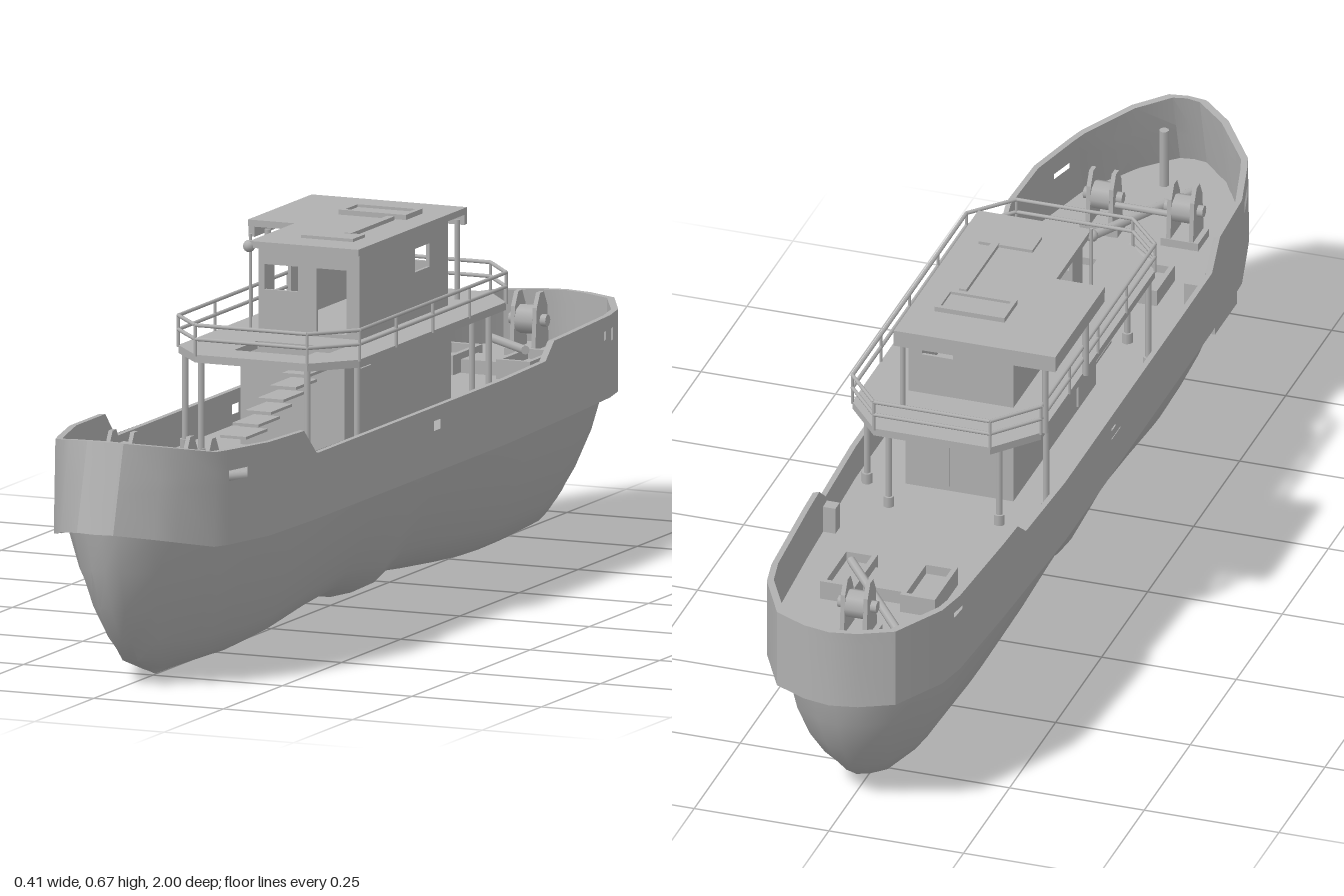
import * as THREE from 'three';
import { toCreasedNormals } from 'three/addons/utils/BufferGeometryUtils.js';

const grey = new THREE.MeshStandardMaterial({ color: 0xb0b0b0, side: THREE.DoubleSide });
grey.name = 'plain grey';

// piecewise linear lookup; keys run from bow (z = 1) to stern (z = -1)
function along(keys, z) {
  for (let i = 1; i < keys.length; i++) {
    const [a, va] = keys[i - 1], [b, vb] = keys[i];
    if (z >= b) return va + (vb - va) * (a - z) / (a - b);
  }
  return keys[keys.length - 1][1];
}
const WIDTH = [[1, 0], [0.995, 0.035], [0.94, 0.09], [0.83, 0.155], [0.68, 0.193], [0.5, 0.2], [-0.3, 0.2],
  [-0.6, 0.187], [-0.8, 0.175], [-0.86, 0.163], [-0.96, 0.11], [-0.99, 0.05], [-1, 0]];
const BOTTOM = [[1, 0.295], [0.995, 0.295], [0.83, 0.257], [0.8, 0.255], [-1, 0.255]];
const RAIL = [[1, 0.453], [0.995, 0.452], [0.83, 0.425], [0.545, 0.42], [0.495, 0.372], [-0.49, 0.372], [-0.53, 0.402], [-1, 0.402]];
const SLOT = [[1, 0.365], [0.6, 0.365], [0.3, 0.325], [-0.4, 0.325], [-0.6, 0.355], [-1, 0.355]];
const KEEL = [[1, 0.005], [0.5, 0.003], [0.18, 0.043], [0.09, 0.035], [0, 0.018], [-0.08, 0.042], [-0.3, 0.02], [-0.5, 0.003], [-1, 0.005]];
const PORTS = [[0.79, 0.73], [0, -0.05], [-0.77, -0.82]];
const DECK = 0.31;

// stations down one side, then back up the other
const side = [...new Set([...WIDTH, ...RAIL, ...KEEL].map(k => k[0]).concat(PORTS.flat(), [0.9, 0.35, -0.2, -0.4, -0.7]))]
  .sort((a, b) => b - a);
const loop = [...side.map(z => [z, 1]), ...side.slice(1, -1).reverse().map(z => [z, -1]), [1, 1]];

// skin between rows of points at every station, leaving out cells where skip() is true
function loft(section, skip = () => false) {
  const rows = loop.map(([z, s]) => section(z, s)), n = rows[0].length, index = [];
  for (let i = 0; i < rows.length - 1; i++) for (let j = 0; j < n - 1; j++) {
    if (skip((loop[i][0] + loop[i + 1][0]) / 2, j)) continue;
    const a = i * n + j, b = a + n;
    index.push(a, a + 1, b, b, a + 1, b + 1);
  }
  const g = new THREE.BufferGeometry();
  g.setAttribute('position', new THREE.Float32BufferAttribute(rows.flat(2), 3));
  g.setIndex(index);
  g.computeVertexNormals();
  return g;
}

function mesh(parent, name, geometry) {
  const m = new THREE.Mesh(geometry, grey);
  m.name = name;
  parent.add(m);
  return m;
}
function box(parent, name, w, h, d, x, y, z) {
  const m = mesh(parent, name, new THREE.BoxGeometry(w, h, d));
  m.position.set(x, y, z);
  return m;
}
// round bar between two points
function bar(parent, name, a, b, r = 0.004) {
  const p = new THREE.Vector3(...a), q = new THREE.Vector3(...b);
  const m = mesh(parent, name, new THREE.CylinderGeometry(r, r, p.distanceTo(q), 8));
  m.position.copy(p).add(q).multiplyScalar(0.5);
  m.quaternion.setFromUnitVectors(new THREE.Vector3(0, 1, 0), q.sub(p).normalize());
  return m;
}
function polygon(points, holes = []) {
  const toPts = list => list.map(p => new THREE.Vector2(...p));
  const s = new THREE.Shape(toPts(points));
  holes.forEach(h => s.holes.push(new THREE.Path(toPts(h))));
  return s;
}
const rect = (x0, y0, x1, y1) => [[x0, y0], [x1, y0], [x1, y1], [x0, y1]];
// horizontal slab from (x, z) points
function slab(parent, name, pts, y, h, holes = []) {
  const flip = list => list.map(([x, z]) => [x, -z]);
  const g = new THREE.ExtrudeGeometry(polygon(flip(pts), holes.map(flip)), { depth: h, bevelEnabled: false });
  const m = mesh(parent, name, g.rotateX(-Math.PI / 2));
  m.position.y = y;
  return m;
}
// upright wall with openings
function wall(parent, name, outline, holes, x, z, turn) {
  const g = new THREE.ExtrudeGeometry(polygon(outline, holes), { depth: 0.006, bevelEnabled: false });
  const m = mesh(parent, name, g);
  m.position.set(x, 0, z);
  m.rotation.y = turn;
}
// hollow rectangular coaming with a lid set inside
function hatch(parent, x, y, z, w, d, h) {
  const o = rect(x - w / 2, z - d / 2, x + w / 2, z + d / 2), t = 0.009;
  slab(parent, 'hatchCoaming', o, y, h, [rect(x - w / 2 + t, z - d / 2 + t, x + w / 2 - t, z + d / 2 - t)]);
  box(parent, 'hatchLid', w - t, h * 0.5, d - t, x, y + h * 0.25, z);
}
function winch(parent, x, z) {
  const g = new THREE.Group();
  g.name = 'winch';
  g.position.set(x, DECK, z);
  parent.add(g);
  box(g, 'winchBase', 0.07, 0.015, 0.06, 0, 0.008, 0);
  const cheek = polygon([[-0.03, 0], [0.03, 0], [0.022, 0.09], [0.008, 0.115], [-0.008, 0.115], [-0.022, 0.09]]);
  for (const s of [-1, 1]) {
    const m = mesh(g, 'winchCheek', new THREE.ExtrudeGeometry(cheek, { depth: 0.008, bevelEnabled: false }));
    m.rotation.y = Math.PI / 2;
    m.position.x = s * 0.021 - 0.004;
  }
  bar(g, 'winchDrum', [-0.018, 0.065, 0], [0.018, 0.065, 0], 0.026);
  bar(g, 'winchShaft', [-0.036, 0.065, 0], [0.036, 0.065, 0], 0.011);
}

export function createModel() {
  const boat = new THREE.Group();
  boat.name = 'workboat';

  // lower hull: height, width and length of each waterline
  const lines = [[0.255, 1, 1], [0.255, 0.88, 0.97], [0.19, 0.79, 0.955], [0.125, 0.67, 0.925],
    [0.07, 0.54, 0.885], [0.035, 0.42, 0.85], [0.012, 0.2, 0.78], [0, 0, 0.74]];
  mesh(boat, 'hull', toCreasedNormals(loft((z, s) => lines.map(([y, fw, fl]) => {
    const f = y / 0.255;
    return [s * along(WIDTH, z) * fw, along(BOTTOM, z) * f + along(KEEL, z * fl) * (1 - f), z * fl];
  })), 0.7));

  // bulwark with mooring ports, leaning back at the bow
  const bulwark = loft((z, s) => {
    const w = along(WIDTH, z), lo = along(BOTTOM, z), hi = along(RAIL, z), sl = along(SLOT, z);
    const put = (y, t) => [s * Math.max(0, w - t), y,
      z * (1 - t) - 0.045 * Math.max(0, (z - 0.8) / 0.2) * (y - lo) / (hi - lo)];
    const ys = [lo, sl, sl + 0.022, hi];
    return [...ys.map(y => put(y, 0)), ...ys.reverse().map(y => put(y, 0.01))];
  }, (z, j) => (j === 1 || j === 5) && PORTS.some(([a, b]) => z < a && z > b));
  mesh(boat, 'bulwark', toCreasedNormals(bulwark, 0.5));

  const deckEdge = loop.slice(0, -1).map(([z, s]) => [s * Math.max(0, along(WIDTH, z) - 0.006), z * 0.985]);
  slab(boat, 'mainDeck', deckEdge, DECK - 0.01, 0.01);
  box(boat, 'sideFender', 0.025, 0.05, 0.12, -0.178, 0.25, 0.6);

  // lower deckhouse with doors
  const house = new THREE.Group();
  house.name = 'deckhouse';
  boat.add(house);
  box(house, 'lowerHouse', 0.2, 0.18, 0.45, 0, 0.4, -0.065);
  for (const s of [-1, 1]) {
    box(house, 'sideDoor', 0.006, 0.13, 0.055, s * 0.101, 0.385, 0.08);
    box(house, 'endDoor', 0.055, 0.13, 0.006, s * 0.045, 0.385, -0.291);
  }

  // upper deck, posts and railing
  const oct = [[0.108, 0.335], [0.175, 0.26], [0.175, -0.36], [0.108, -0.44], [-0.108, -0.44], [-0.175, -0.36], [-0.175, 0.26], [-0.108, 0.335]];
  slab(house, 'upperDeck', oct, 0.484, 0.014, [rect(-0.065, 0.165, 0.1, 0.265)]);
  for (let i = 0; i < 7; i++) box(house, 'stairTread', 0.05, 0.005, 0.09, 0.075 - i * 0.024, 0.485 - i * 0.024, 0.215);
  oct.forEach(([x, z], i) => {
    const [nx, nz] = oct[(i + 1) % 8];
    for (const y of [0.526, 0.551]) bar(house, 'handRail', [x, y, z], [nx, y, nz], 0.0035);
    const parts = Math.max(1, Math.round(Math.hypot(nx - x, nz - z) / 0.16));
    for (let k = 0; k < parts; k++) {
      const px = x + (nx - x) * k / parts, pz = z + (nz - z) * k / parts;
      bar(house, 'railPost', [px, 0.495, pz], [px, 0.551, pz], 0.003);
    }
    const lx = x * 0.95, lz = z * (z > 0 ? 0.96 : 0.85);
    bar(house, 'deckPost', [lx, DECK, lz], [lx, 0.485, lz], 0.006);
    bar(house, 'postFoot', [lx, DECK, lz], [lx, DECK + 0.02, lz], 0.01);
  });

  // wheelhouse walls with window openings
  const front = rect(-0.1, 0.498, 0.095, 0.652), flank = rect(-0.29, 0.498, 0.085, 0.652);
  const pane = rect(-0.088, 0.575, -0.024, 0.62);
  wall(house, 'frontWall', front, [pane, rect(0.012, 0.505, 0.07, 0.62)], 0, 0.079, 0);
  wall(house, 'backWall', front, [rect(0.012, 0.575, 0.07, 0.62)], 0, -0.29, 0);
  const flip = pts => pts.map(([a, b]) => [-a, b]);
  const sideWindow = flip(rect(-0.21, 0.58, -0.15, 0.622));
  wall(house, 'leftWall', flip(flank), [sideWindow], 0.089, 0, Math.PI / 2);
  wall(house, 'rightWall', flip(flank), [sideWindow, rect(-0.03, 0.505, 0.04, 0.63)], -0.1, 0, Math.PI / 2);

  // roof with a side wing and hatch
  slab(house, 'roof', [[-0.115, 0.09], [0.095, 0.09], [0.095, -0.37], [-0.205, -0.37], [-0.205, -0.1], [-0.115, -0.1]], 0.648, 0.012);
  box(house, 'wingBeam', 0.012, 0.02, 0.27, -0.198, 0.64, -0.235);
  box(house, 'roofBackBeam', 0.3, 0.02, 0.012, -0.055, 0.64, -0.364);
  for (const z of [-0.35, -0.13]) bar(house, 'wingPost', [-0.18, 0.495, z], [-0.18, 0.64, z], 0.006);
  bar(house, 'roofPost', [0.085, 0.495, -0.35], [0.085, 0.64, -0.35], 0.005);
  hatch(house, -0.015, 0.659, -0.245, 0.13, 0.07, 0.01);
  box(house, 'roofRail', 0.014, 0.008, 0.18, 0.025, 0.663, -0.11);
  box(house, 'roofVent', 0.1, 0.007, 0.05, 0.005, 0.662, 0);
  bar(house, 'lampMast', [-0.12, 0.495, 0.075], [-0.12, 0.67, 0.075], 0.003);
  mesh(house, 'searchlight', new THREE.SphereGeometry(0.011, 12, 8)).position.set(-0.118, 0.65, 0.085);

  // fore deck gear
  winch(boat, -0.08, 0.7);
  winch(boat, 0.07, 0.7);
  bar(boat, 'winchAxle', [-0.08, 0.365, 0.69], [0.07, 0.365, 0.69], 0.006);
  bar(boat, 'foreSpar', [0.1, 0.335, 0.56], [-0.06, 0.345, 0.82], 0.009);
  bar(boat, 'bowPost', [0.02, DECK, 0.88], [0.02, 0.42, 0.88], 0.009);
  hatch(boat, -0.08, DECK, 0.51, 0.06, 0.1, 0.03);
  mesh(boat, 'ventilator', new THREE.SphereGeometry(0.03, 12, 8)).position.set(0.07, DECK, 0.39);
  bar(boat, 'loosePlank', [-0.07, 0.318, 0.58], [0, 0.318, 0.64], 0.006);

  // after deck gear
  winch(boat, 0, -0.84);
  for (const x of [-0.073, 0.075]) hatch(boat, x, DECK, -0.67, 0.065, 0.125, 0.035);
  box(boat, 'afterLocker', 0.075, 0.025, 0.07, 0, DECK + 0.012, -0.67);
  bar(boat, 'afterSpar', [-0.08, 0.335, -0.85], [0.075, 0.355, -0.66], 0.008);

  // mooring bitts along the rails
  for (const s of [-1, 1]) for (const z of [0.48, -0.49])
    box(boat, 'mooringBitt', 0.028, 0.05, 0.024, s * 0.172, DECK + 0.025, z);
  return boat;
}
